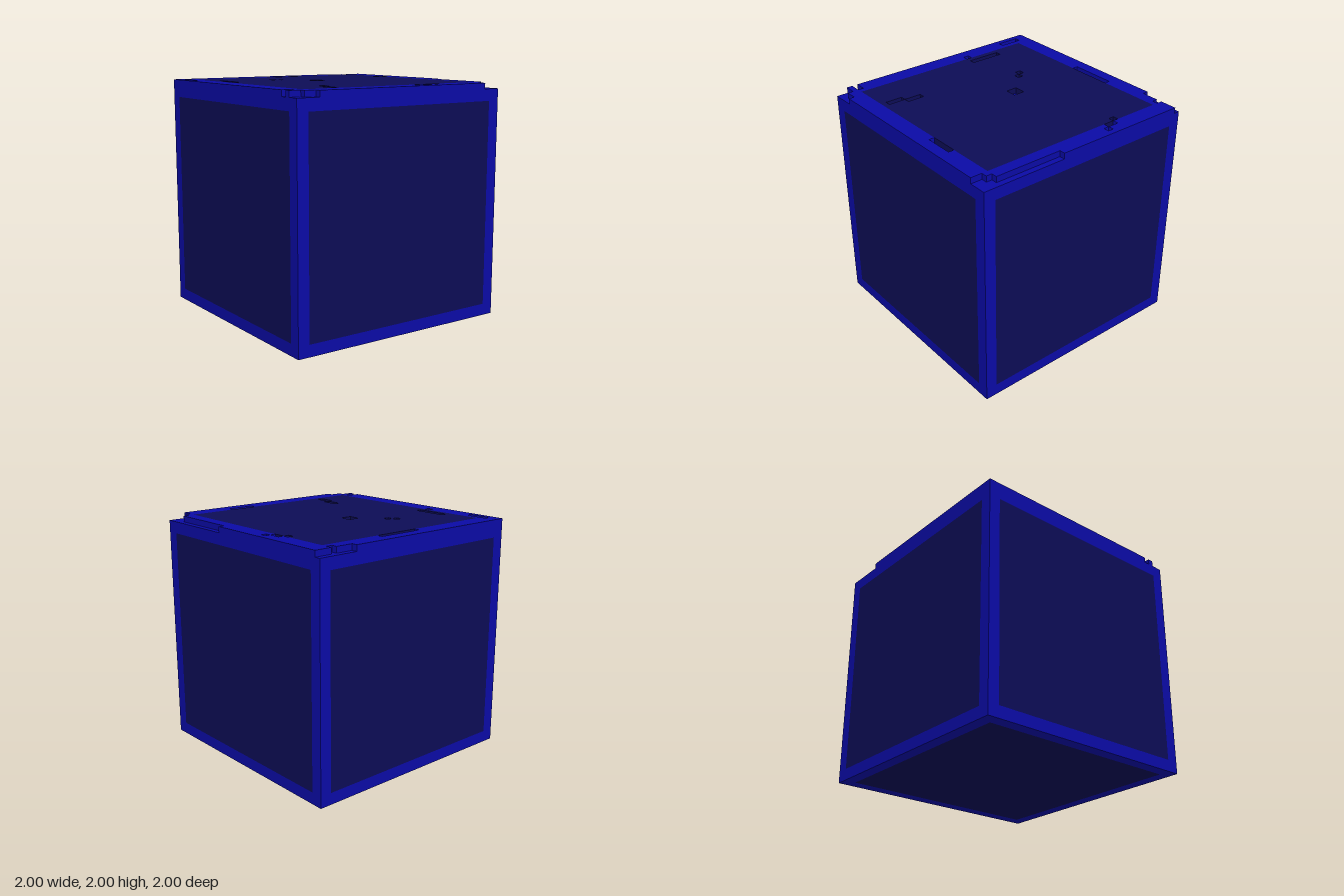
import * as THREE from 'three';

const N = 40, U = 0.05, TOP = 2, FLOOR = 1.95;

// Chips missing from the top layer: x0, x1, z0, z1
const chips = [
  // front left corner
  [-1, -0.9, 0.8, 0.85], [-1, -0.9, 0.9, 1], [-0.9, -0.8, 0.95, 1],
  // front right corner and edge
  [0.95, 1, 0.25, 1], [0.9, 0.95, 0.85, 1], [0.85, 0.9, 0.9, 1],
  // back right edge
  [0.65, 1, -1, -0.95], [0.8, 0.85, -0.95, -0.9],
  // pits in the rim
  [-0.95, -0.9, -0.9, -0.7], [-0.9, -0.85, -0.3, -0.25], [0.2, 0.45, 0.85, 0.9],
  [-0.1, 0.3, -0.9, -0.85], [0.85, 0.9, -0.4, -0.3], [0.9, 0.95, -0.3, -0.25],
  // pits in the panel
  [-0.8, -0.75, -0.55, -0.25], [-0.35, -0.3, -0.45, -0.4], [-0.3, -0.25, -0.4, -0.35],
  [-0.1, 0, -0.2, -0.1], [-0.55, -0.5, 0.65, 0.8], [-0.5, -0.45, 0.5, 0.65],
  [0.8, 0.85, -0.45, -0.4],
];

// Is the top-layer cell (i along x, k along z) standing?
function solid(i, k) {
  if (i < 0 || k < 0 || i >= N || k >= N) return false;
  const x = -1 + (i + 0.5) * U, z = -1 + (k + 0.5) * U;
  return !chips.some(([x0, x1, z0, z1]) => x > x0 && x < x1 && z > z0 && z < z1);
}

// Adds a quad with corners anticlockwise as seen from outside
function quad(list, a, b, c, d) {
  list.push(...a, ...b, ...c, ...a, ...c, ...d);
}

function toGeometry(list) {
  const g = new THREE.BufferGeometry();
  g.setAttribute('position', new THREE.Float32BufferAttribute(list, 3));
  g.computeVertexNormals();
  return g;
}

// Top layer: only the exposed faces of each cell, sorted by colour
function topLayer() {
  const rim = [], panel = [], pits = [];
  for (let i = 0; i < N; i++) for (let k = 0; k < N; k++) {
    const x0 = -1 + i * U, x1 = x0 + U, z0 = -1 + k * U, z1 = z0 + U;
    const level = (list, y) => quad(list, [x0, y, z1], [x1, y, z1], [x1, y, z0], [x0, y, z0]);
    if (!solid(i, k)) { level(pits, FLOOR); continue; }
    const inner = i >= 3 && i < N - 3 && k >= 3 && k < N - 3;
    const list = inner ? panel : rim;
    level(list, TOP);
    const wall = (ax, az, bx, bz) =>
      quad(list, [ax, FLOOR, az], [bx, FLOOR, bz], [bx, TOP, bz], [ax, TOP, az]);
    if (!solid(i, k + 1)) wall(x0, z1, x1, z1);
    if (!solid(i + 1, k)) wall(x1, z1, x1, z0);
    if (!solid(i, k - 1)) wall(x1, z0, x0, z0);
    if (!solid(i - 1, k)) wall(x0, z0, x0, z1);
  }
  return { rim, panel, pits };
}

function rect(Type, x0, y0, x1, y1) {
  return new Type().setFromPoints([[x0, y0], [x1, y0], [x1, y1], [x0, y1]]
    .map(([x, y]) => new THREE.Vector2(x, y)));
}

export function createModel() {
  const model = new THREE.Group();
  model.name = 'block';
  const frameBlue = new THREE.MeshStandardMaterial({ color: 0x0a0aa5 });
  frameBlue.name = 'frame blue';
  const panelNavy = new THREE.MeshStandardMaterial({ color: 0x0c0c55 });
  panelNavy.name = 'panel navy';

  const add = (parent, name, geometry, material) => {
    const mesh = new THREE.Mesh(geometry, material);
    mesh.name = name;
    parent.add(mesh);
  };

  // A face lying at z = 1: frame with an inset panel flush with it
  const face = (name, y0, y1, p0, p1) => {
    const group = new THREE.Group();
    group.name = name;
    const frame = rect(THREE.Shape, -1, y0, 1, y1);
    frame.holes.push(rect(THREE.Path, -0.9, p0, 0.9, p1));
    const panel = rect(THREE.Shape, -0.9, p0, 0.9, p1);
    for (const [part, shape, mat] of [['Frame', frame, frameBlue], ['Panel', panel, panelNavy]])
      add(group, name + part, new THREE.ShapeGeometry(shape).translate(0, 0, 1), mat);
    model.add(group);
    return group;
  };

  // Four sides
  ['front', 'left', 'back', 'right'].forEach((name, n) => {
    face(name, 0, FLOOR, 0.1, 1.85).rotation.y = n * Math.PI / 2;
  });

  // Underside
  const bottom = face('bottom', -1, 1, -0.9, 0.9);
  bottom.rotation.x = Math.PI / 2;
  bottom.position.y = 1;

  // Chipped top
  const top = topLayer();
  add(model, 'topRim', toGeometry(top.rim), frameBlue);
  add(model, 'topPanel', toGeometry(top.panel), panelNavy);
  add(model, 'topPitFloors', toGeometry(top.pits), frameBlue);
  return model;
}
